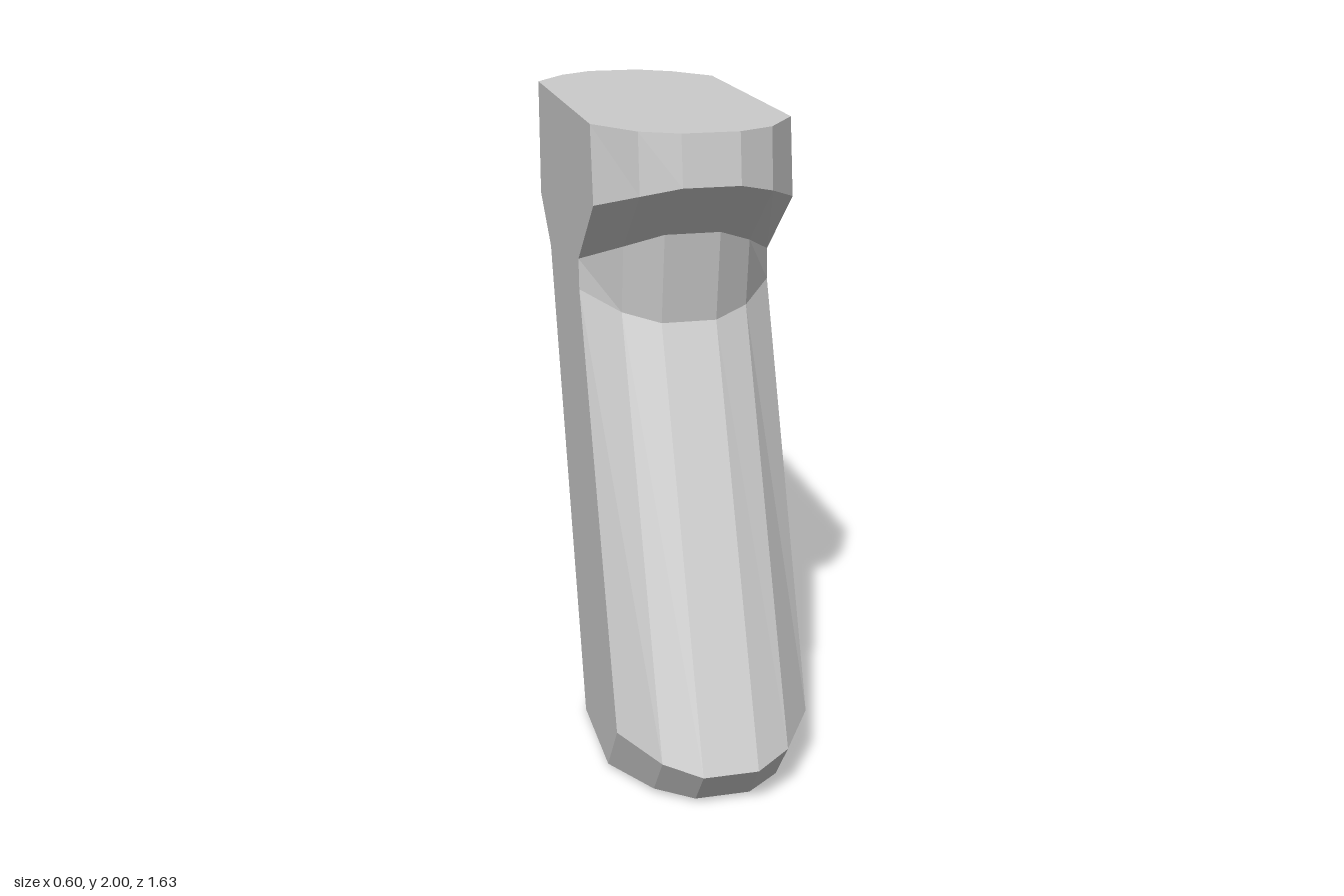
import * as THREE from 'three';

// Closed [z, y] outlines: down the front, then up the back.
const centre = [
  [0.52, 2], [0.54, 1.85], [0.32, 1.67], [0.28, 1.39], [0.815, 0.14], [0.72, 0.015],
  [-0.18, 0], [-0.28, 0.03], [-0.34, 0.185], [-0.255, 0.235], [-0.665, 1.45], [-0.815, 1.575], [-0.815, 2],
];
const middle = [
  [0.46, 2], [0.48, 1.82], [0.25, 1.625], [0.22, 1.415], [0.75, 0.165], [0.635, 0.015],
  [-0.04, 0.003], [-0.12, 0.025], [-0.17, 0.19], [-0.16, 0.24], [-0.59, 1.46], [-0.74, 1.59], [-0.74, 2],
];
const side = [
  [0.3, 2], [0.335, 1.77], [0.085, 1.555], [0.09, 1.46], [0.595, 0.2], [0.45, 0.01],
  [0.08, 0.005], [0.08, 0.005], [0, 0.245], [0, 0.245], [-0.42, 1.48], [-0.6, 1.625], [-0.6, 2],
];

export function createModel() {
  const columns = [[-0.3, side], [-0.195, middle], [-0.085, centre], [0.085, centre], [0.195, middle], [0.3, side]];
  const positions = [];
  const add = (x, [z, y]) => positions.push(x, y, z);

  // Faceted skin joining neighbouring outlines
  for (let j = 0; j < columns.length - 1; j++) {
    const [x0, p] = columns[j];
    const [x1, q] = columns[j + 1];
    for (let i = 0; i < p.length; i++) {
      const k = (i + 1) % p.length;
      add(x0, p[i]); add(x0, p[k]); add(x1, q[k]);
      add(x0, p[i]); add(x1, q[k]); add(x1, q[i]);
    }
  }

  // Flat cheeks on both sides, without repeated corners
  const outline = side.filter((p, i) => i === 0 || p[0] !== side[i - 1][0] || p[1] !== side[i - 1][1]);
  const flat = outline.map(([z, y]) => new THREE.Vector2(-z, y));
  for (const tri of THREE.ShapeUtils.triangulateShape(flat, [])) {
    const ccw = THREE.ShapeUtils.area(tri.map((i) => flat[i])) > 0 ? tri : [...tri].reverse();
    ccw.forEach((i) => add(0.3, outline[i]));
    [...ccw].reverse().forEach((i) => add(-0.3, outline[i]));
  }

  const geometry = new THREE.BufferGeometry();
  geometry.setAttribute('position', new THREE.Float32BufferAttribute(positions, 3));
  geometry.computeVertexNormals();
  const grip = new THREE.Mesh(geometry, new THREE.MeshStandardMaterial({ color: 0xcccccc, flatShading: true }));
  grip.name = 'gripBody';

  const group = new THREE.Group();
  group.name = 'angledGrip';
  group.add(grip);
  return group;
}
